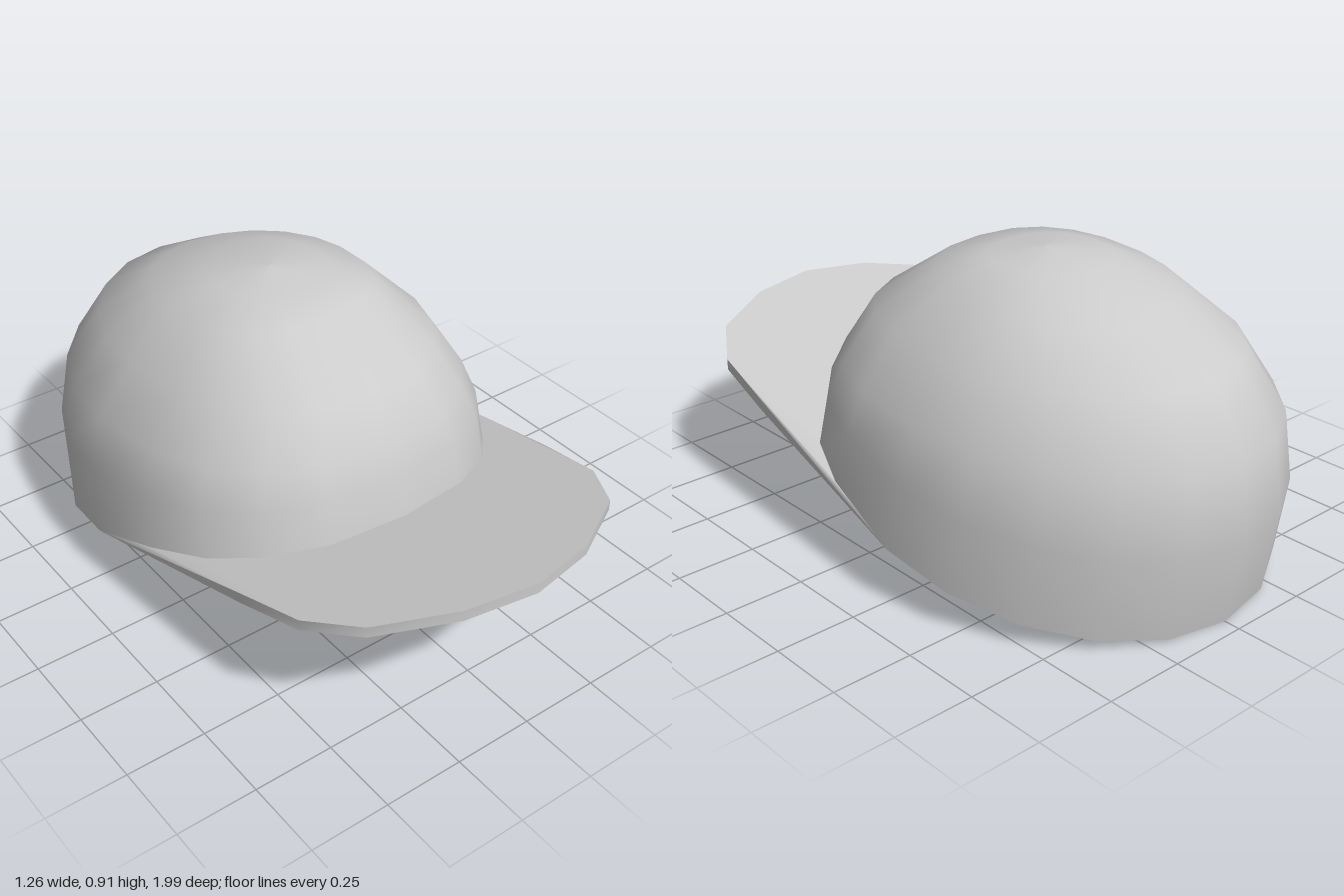
import * as THREE from 'three';

const SIDES = 20;
const SLOPE = 0.24;
const planeY = z => 0.24 + SLOPE * z; // tilted plane of the opening and brim

// Oval ring between a front and a back point; the front half is squarer.
function ovalRing([zf, yf], [zb, yb], halfWidth) {
  const ring = [];
  const zc = (zf + zb) / 2, yc = (yf + yb) / 2;
  for (let i = 0; i < SIDES; i++) {
    const a = (i / SIDES) * Math.PI * 2;
    const p = Math.sin(a) > 0.001 ? 2 / 2.45 : 1;
    const soft = v => Math.sign(v) * Math.pow(Math.abs(v), p);
    const c = soft(Math.cos(a)), s = soft(Math.sin(a));
    ring.push([halfWidth * c, yc + s * (yf - yb) / 2, zc + s * (zf - zb) / 2]);
  }
  return ring;
}

// Skin over successive rings of equal point count.
function loft(rings, closed) {
  const n = rings[0].length;
  const index = [];
  for (let k = 0; k < rings.length - 1; k++) {
    for (let i = 0; i < (closed ? n : n - 1); i++) {
      const j = (i + 1) % n;
      const a = k * n + i, b = k * n + j, c = a + n, d = b + n;
      index.push(a, c, b, b, c, d);
    }
  }
  const geo = new THREE.BufferGeometry();
  geo.setAttribute('position', new THREE.Float32BufferAttribute(rings.flat(2), 3));
  geo.setIndex(index);
  geo.computeVertexNormals();
  return geo;
}

export function createModel() {
  const cap = new THREE.Group();
  cap.name = 'cap';
  const material = new THREE.MeshStandardMaterial({ color: 0xcccccc, side: THREE.DoubleSide });
  const add = (name, rings, closed = true) => {
    const mesh = new THREE.Mesh(loft(rings, closed), material);
    mesh.name = name;
    cap.add(mesh);
  };

  // Crown: rings from the opening to the apex
  const base = ovalRing([0.44, planeY(0.44)], [-0.95, 0.005], 0.63);
  add('crown', [
    base,
    ovalRing([0.41, 0.5], [-1, 0.27], 0.612),
    ovalRing([0.365, 0.59], [-0.98, 0.5], 0.565),
    ovalRing([0.29, 0.725], [-0.86, 0.69], 0.46),
    ovalRing([0.07, 0.87], [-0.65, 0.805], 0.32),
    ovalRing([-0.07, 0.895], [-0.43, 0.893], 0.18),
    ovalRing([-0.22, 0.912], [-0.22, 0.912], 0),
  ]);

  // Brim outline, mirrored from the left side to the right
  const half = [[0.57, 0.43], [0.54, 0.66], [0.44, 0.82], [0.22, 0.945]];
  const outline = [...half, [0, 0.99], ...half.map(([x, z]) => [-x, z]).reverse()]
    .map(([x, z]) => [x, planeY(z), z]);
  const mid = SIDES / 2;
  const brimEdge = [base[0], ...outline, base[mid]];
  const raise = ring => ring.map(([x, y, z], i) =>
    [x, y + (i === 0 || i === mid ? 0 : 0.035), z]);
  const brimTop = raise(brimEdge);
  add('brimTop', [brimTop, raise(base.slice(0, mid + 1))], false);
  add('brimEdge', [brimEdge, brimTop], false);

  // Underside: brim bottom and crown rim in one tilted band
  const opening = ovalRing([0.37, planeY(0.37)], [-0.84, planeY(-0.84)], 0.54);
  add('underside', [opening, [...brimEdge, ...base.slice(mid + 1)]]);

  // Inner band standing up inside the crown
  const bandTop = ovalRing([0.33, 0.51], [-0.87, 0.23], 0.53);
  add('innerBand', [bandTop, opening]);

  return cap;
}
